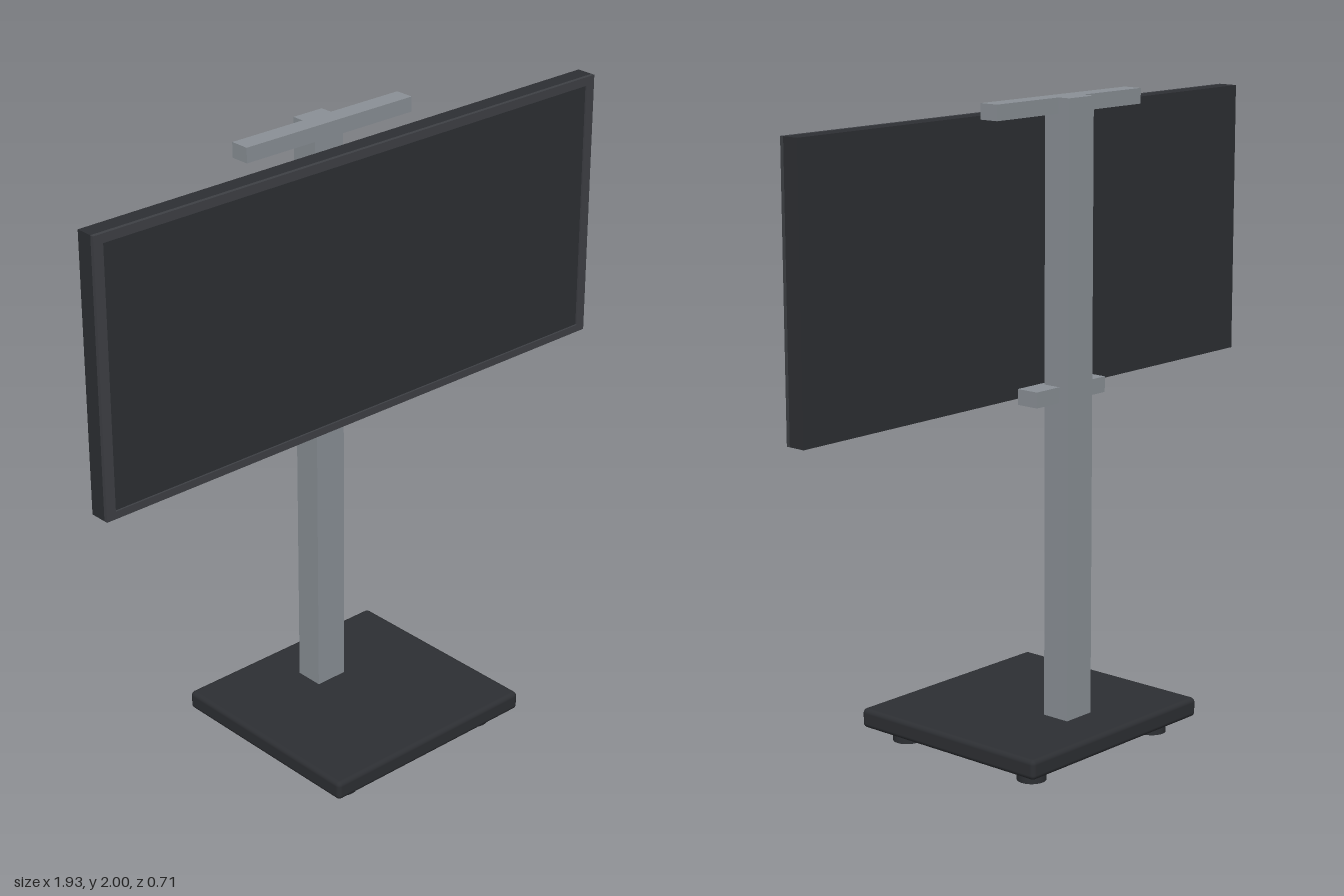
import * as THREE from 'three';
import { RoundedBoxGeometry } from 'three/addons/geometries/RoundedBoxGeometry.js';

export function createModel() {
  const group = new THREE.Group();
  const black = new THREE.MeshStandardMaterial({ color: 0x2d2f33 });
  const bezelGrey = new THREE.MeshStandardMaterial({ color: 0x3e4045 });
  const metal = new THREE.MeshStandardMaterial({ color: 0x8a9096 });

  const add = (name, geometry, material, x, y, z) => {
    const mesh = new THREE.Mesh(geometry, material);
    mesh.name = name;
    mesh.position.set(x, y, z);
    group.add(mesh);
    return mesh;
  };
  // Box given by its limits on each axis
  const box = (name, material, [x0, x1], [y0, y1], [z0, z1]) =>
    add(name, new THREE.BoxGeometry(x1 - x0, y1 - y0, z1 - z0), material,
      (x0 + x1) / 2, (y0 + y1) / 2, (z0 + z1) / 2);

  // Base plate with softened edges, on four round feet
  add('basePlate', new RoundedBoxGeometry(0.77, 0.062, 0.71, 3, 0.015), black, 0, 0.075, 0);
  const footGeometry = new THREE.CylinderGeometry(0.045, 0.045, 0.05, 24);
  for (const x of [-0.283, 0.283]) {
    for (const z of [-0.258, 0.258]) add('foot', footGeometry, black, x, 0.025, z);
  }

  // Upright post and the two mounting bars
  box('post', metal, [-0.055, 0.055], [0.1, 2], [-0.2, -0.107]);
  box('topBar', metal, [-0.32, 0.32], [1.953, 2], [-0.16, -0.097]);
  box('lowerBracket', metal, [-0.155, 0.155], [1.095, 1.143], [-0.165, -0.09]);

  // Display body, with the panel set slightly behind the bezel
  const halfW = 0.967, bottom = 1.093, top = 1.953;
  box('displayBody', black, [-halfW, halfW], [bottom, top], [-0.027, 0.028]);
  box('screenPanel', black, [-0.94, 0.94], [1.11, 1.935], [0.02, 0.034]);

  // Bezel frame around the panel
  const rectangle = (path, x, y0, y1) => {
    path.moveTo(-x, y0);
    path.lineTo(x, y0);
    path.lineTo(x, y1);
    path.lineTo(-x, y1);
    path.closePath();
    return path;
  };
  const frame = rectangle(new THREE.Shape(), halfW, bottom, top);
  frame.holes.push(rectangle(new THREE.Path(), 0.935, 1.117, 1.925));
  add('bezel', new THREE.ExtrudeGeometry(frame, { depth: 0.012, bevelEnabled: false }),
    bezelGrey, 0, 0, 0.028);

  return group;
}
